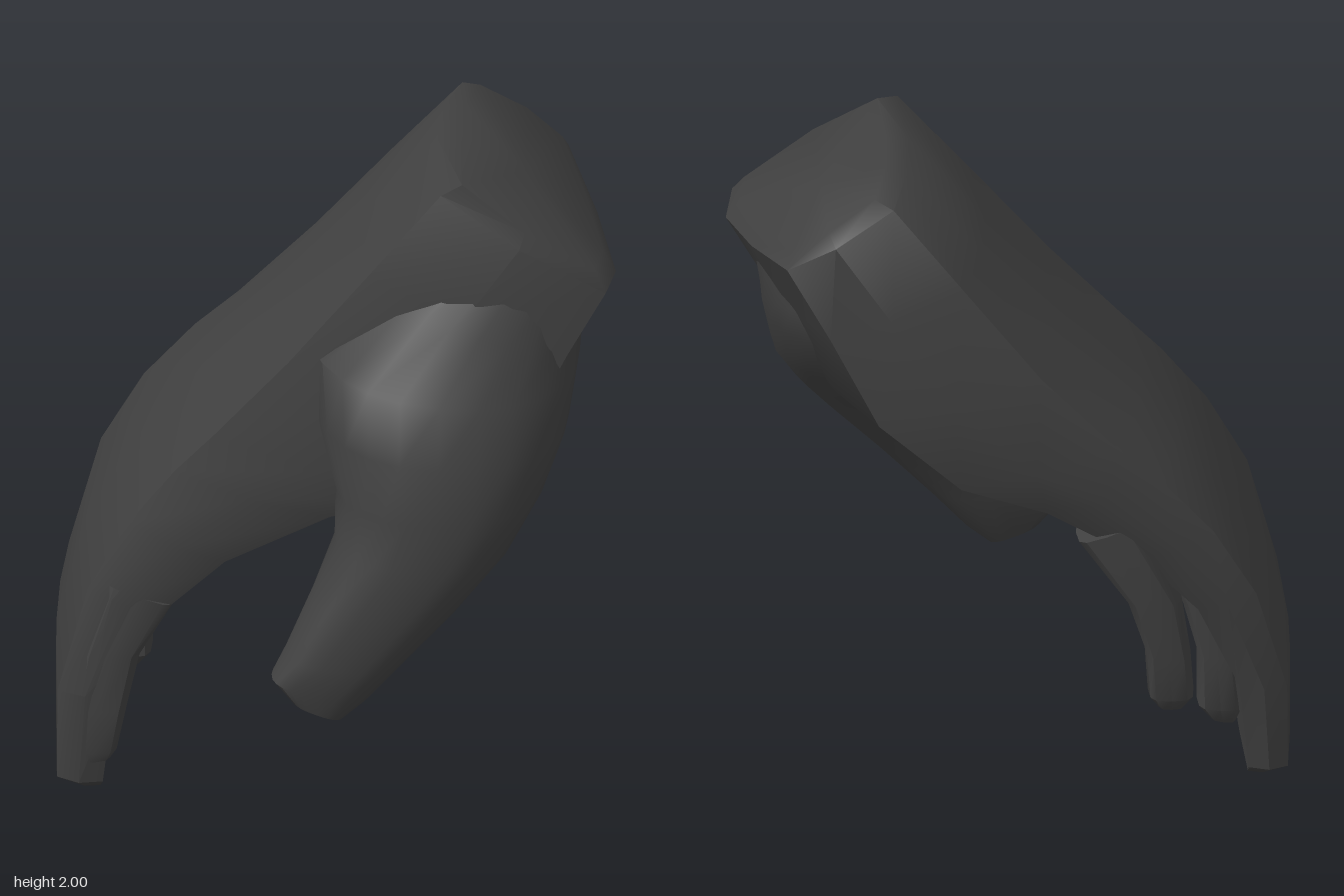
import * as THREE from 'three';
import { toCreasedNormals } from 'three/addons/utils/BufferGeometryUtils.js';

const glove = new THREE.MeshStandardMaterial({ color: 0x404040 });
glove.name = 'dark grey';

// Outlines as [across, depth] pairs from 0 to 1, counter-clockwise.
const wristOutline = [[0, 0.53], [0.03, 0.27], [0.12, 0.04], [0.44, 0], [0.69, 0.06],
  [0.87, 0.42], [1, 0.77], [0.95, 0.96], [0.47, 1], [0.03, 0.92]];
const fingerOutline = [[0, 0.53], [0.03, 0.27], [0.14, 0.01], [0.5, 0], [0.9, 0.04],
  [1, 0.4], [1, 0.7], [0.95, 0.97], [0.5, 1], [0.08, 0.98]];

// Rounded box; power 1 is an ellipse, smaller is squarer.
function roundOutline(power, sides) {
  const soft = (t) => 0.5 + 0.5 * Math.sign(t) * Math.pow(Math.abs(t), power);
  return Array.from({ length: sides }, (_, j) => {
    const a = (j / sides) * Math.PI * 2;
    return [soft(Math.cos(a)), soft(Math.sin(a))];
  });
}

// Lofts through sections [x1, y1, x2, y2, zMin, zMax]: each ring spans
// (x1, y1) to (x2, y2) across and zMin to zMax in depth. The outline
// changes gradually from the first shape to the second.
function loft(name, sections, from, to, crease) {
  const pos = [];
  const sides = from.length;
  const mix = THREE.MathUtils.lerp;
  const rings = sections.map(([x1, y1, x2, y2, z1, z2], i) => {
    const t = i / (sections.length - 1);
    return from.map(([u0, v0], j) => {
      const u = mix(u0, to[j][0], t), v = mix(v0, to[j][1], t);
      return new THREE.Vector3(mix(x1, x2, u), mix(y1, y2, u), mix(z1, z2, v));
    });
  });
  const tri = (...pts) => pts.forEach((p) => pos.push(p.x, p.y, p.z));
  for (let i = 0; i < rings.length - 1; i++) {
    for (let j = 0; j < sides; j++) {
      const k = (j + 1) % sides;
      tri(rings[i][j], rings[i][k], rings[i + 1][k]);
      tri(rings[i][j], rings[i + 1][k], rings[i + 1][j]);
    }
  }
  // flat end caps
  const middle = (ring) => ring.reduce((s, p) => s.add(p), new THREE.Vector3()).divideScalar(sides);
  const first = rings[0], last = rings[rings.length - 1];
  const c0 = middle(first), c1 = middle(last);
  for (let j = 0; j < sides; j++) {
    const k = (j + 1) % sides;
    tri(c0, first[k], first[j]);
    tri(c1, last[j], last[k]);
  }
  const geo = new THREE.BufferGeometry();
  geo.setAttribute('position', new THREE.Float32BufferAttribute(pos, 3));
  const mesh = new THREE.Mesh(toCreasedNormals(geo, crease), glove);
  mesh.name = name;
  return mesh;
}

export function createModel() {
  const hand = new THREE.Group();
  hand.name = 'hand';

  // wrist, palm and the joined fingers, from the bevelled wrist to the fingertips
  hand.add(loft('palmAndFingers', [
    [0.38, 2.00, 0.82, 1.71, -0.55, 0.28],
    [0.31, 1.99, 0.86, 1.65, -0.60, 0.33],
    [0.08, 1.73, 0.75, 1.46, -0.65, 0.37],
    [-0.17, 1.45, 0.62, 1.20, -0.69, 0.40],
    [-0.40, 1.21, 0.34, 1.00, -0.69, 0.42],
    [-0.51, 1.09, 0.02, 0.93, -0.68, 0.42],
    [-0.64, 0.92, -0.31, 0.78, -0.67, 0.43],
    [-0.76, 0.70, -0.51, 0.61, -0.65, 0.44],
    [-0.85, 0.36, -0.65, 0.35, -0.60, 0.46],
    [-0.85, 0.07, -0.69, 0.05, -0.53, 0.46],
    [-0.81, 0.02, -0.70, 0.00, -0.43, 0.38],
  ], wristOutline, fingerOutline, 0.75));

  // thumb, swelling out of the side of the wrist and palm
  const oval = roundOutline(0.95, 24);
  const thumbOutline = roundOutline(0.75, 24);
  hand.add(loft('thumb', [
    [0.38, 1.84, 0.78, 1.60, -0.25, 0.28],
    [0.14, 1.66, 0.76, 1.48, -0.40, 0.43],
    [-0.08, 1.46, 0.75, 1.38, -0.40, 0.60],
    [-0.06, 1.27, 0.72, 1.22, -0.25, 0.68],
    [0.01, 1.06, 0.65, 1.07, 0.00, 0.70],
    [0.01, 0.92, 0.54, 0.90, 0.24, 0.70],
    [-0.06, 0.76, 0.38, 0.72, 0.38, 0.70],
    [-0.14, 0.58, 0.21, 0.54, 0.45, 0.69],
    [-0.18, 0.50, 0.11, 0.43, 0.48, 0.68],
    [-0.12, 0.43, 0.04, 0.37, 0.52, 0.66],
  ], oval, thumbOutline, 0.8));

  // fingers that stand out from the inner side
  const block = roundOutline(0.55, 12);
  const fingers = {
    littleFinger: [
      [-0.36, 0.92, -0.18, 0.86, -0.65, -0.42],
      [-0.50, 0.66, -0.33, 0.66, -0.66, -0.42],
      [-0.53, 0.46, -0.39, 0.48, -0.63, -0.41],
      [-0.54, 0.33, -0.40, 0.33, -0.62, -0.40],
      [-0.51, 0.29, -0.43, 0.29, -0.59, -0.43],
    ],
    ringFinger: [
      [-0.58, 0.72, -0.44, 0.68, -0.34, -0.18],
      [-0.64, 0.52, -0.51, 0.54, -0.36, -0.17],
      [-0.68, 0.35, -0.56, 0.36, -0.36, -0.15],
      [-0.70, 0.18, -0.56, 0.19, -0.36, -0.14],
      [-0.68, 0.13, -0.60, 0.14, -0.33, -0.17],
    ],
    indexFinger: [
      [-0.70, 0.72, -0.48, 0.64, 0.25, 0.43],
      [-0.77, 0.48, -0.58, 0.48, 0.24, 0.45],
      [-0.80, 0.30, -0.62, 0.30, 0.22, 0.46],
      [-0.80, 0.16, -0.65, 0.16, 0.22, 0.46],
      [-0.78, 0.12, -0.67, 0.13, 0.24, 0.45],
    ],
  };
  for (const [name, sections] of Object.entries(fingers)) {
    hand.add(loft(name, sections, block, block, 0.6));
  }
  return hand;
}
